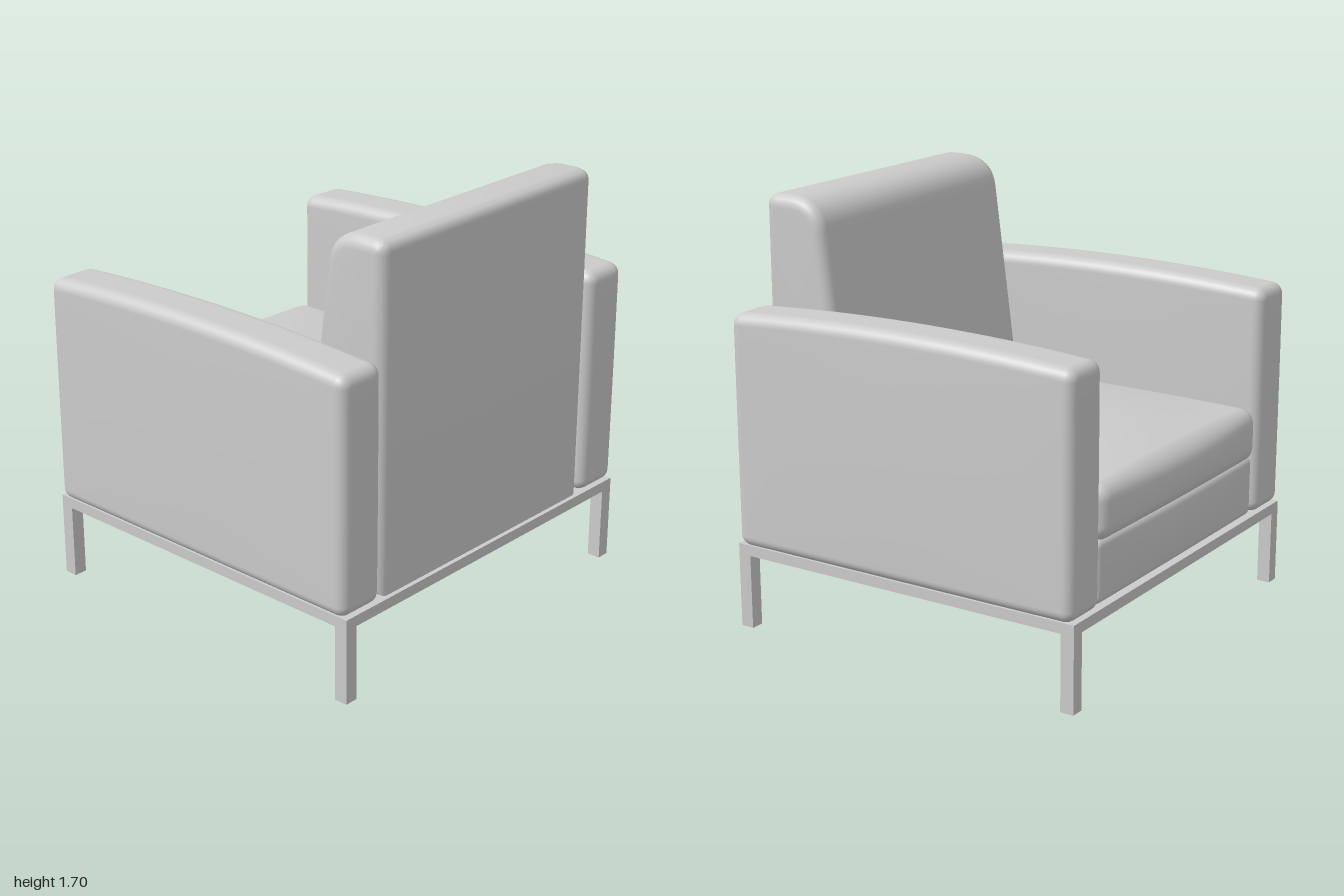
import * as THREE from 'three';
import { mergeVertices, toCreasedNormals } from 'three/addons/utils/BufferGeometryUtils.js';

const material = new THREE.MeshStandardMaterial({ color: 0xcccccc });

function addMesh(parent, name, geometry, x = 0, y = 0, z = 0) {
  const mesh = new THREE.Mesh(geometry, material);
  mesh.name = name;
  mesh.position.set(x, y, z);
  parent.add(mesh);
  return mesh;
}

// Upholstered block: rounded edges of radius r, faces swollen by puff [x, y top, z]
function cushion(w, h, d, r, puff) {
  const edge = 4, mid = 10, n = 2 * edge + mid;
  const half = [w / 2, h / 2, d / 2];
  const geo = new THREE.BoxGeometry(2, 2, 2, n, n, n);
  geo.deleteAttribute('uv');
  geo.deleteAttribute('normal');
  const pos = geo.attributes.position;
  // spread the grid lines so that the rounded edges get their own rows
  const spread = (t, s) => {
    const i = Math.round((t + 1) / 2 * n);
    if (i <= edge) return -s + r * i / edge;
    if (i >= n - edge) return s - r * (n - i) / edge;
    return (s - r) * (2 * (i - edge) / mid - 1);
  };
  for (let i = 0; i < pos.count; i++) {
    const p = half.map((s, a) => spread(pos.getComponent(i, a), s));
    const inner = p.map((c, a) => THREE.MathUtils.clamp(c, r - half[a], half[a] - r));
    const off = p.map((c, a) => c - inner[a]);
    const len = Math.hypot(...off) || 1;
    const q = inner.map((c, a) => c + off[a] / len * r);
    const [u, v, t] = q.map((c, a) => c / half[a]);
    const fall = (a) => Math.max(0, 1 - a * a);
    pos.setXYZ(i,
      q[0] + puff[0] * u * fall(v) * fall(t),
      q[1] + puff[1] * Math.max(0, v) * fall(t) * (w < 0.5 ? 1 : fall(u)),
      q[2] + puff[2] * t * fall(u) * fall(v));
  }
  const merged = mergeVertices(geo, 1e-5);
  merged.computeVertexNormals();
  return merged;
}

// Backrest: side profile with a rolled front top and a sloping front, bevelled at the ends
function backrestGeometry(width) {
  const bevel = 0.045;
  const s = new THREE.Shape();
  s.moveTo(0.315, 0.34);
  s.lineTo(0.75, 0.34);
  s.lineTo(0.75, 1.65);
  s.quadraticCurveTo(0.75, 1.7, 0.69, 1.7);
  s.lineTo(0.64, 1.7);
  s.bezierCurveTo(0.55, 1.7, 0.49, 1.66, 0.48, 1.57);
  s.closePath();
  const geo = new THREE.ExtrudeGeometry(s, {
    depth: width - 2 * bevel, curveSegments: 10,
    bevelEnabled: true, bevelSize: bevel, bevelThickness: bevel, bevelOffset: -bevel, bevelSegments: 5,
  });
  geo.translate(0, 0, -(width / 2 - bevel));
  geo.rotateY(-Math.PI / 2);
  return toCreasedNormals(geo, 0.8);
}

export function createModel() {
  const model = new THREE.Group();
  model.name = 'armchair';
  const chair = new THREE.Group();
  chair.name = 'turnedChair';
  chair.rotation.y = THREE.MathUtils.degToRad(16.3);
  model.add(chair);

  // Base frame with a recessed underside
  const fx = 0.805, fz = 0.768, beam = 0.055, fh = 0.043, fy = 0.323;
  for (const s of [-1, 1]) {
    addMesh(chair, 'frameSideBeam', new THREE.BoxGeometry(beam, fh, 2 * fz), s * (fx - beam / 2), fy, 0);
    addMesh(chair, 'frameCrossBeam', new THREE.BoxGeometry(2 * (fx - beam), fh, beam), 0, fy, s * (fz - beam / 2));
  }
  addMesh(chair, 'undersidePanel', new THREE.BoxGeometry(2 * (fx - beam), 0.01, 2 * (fz - beam)), 0, 0.337, 0);

  // Legs and arms, mirrored
  for (const sx of [-1, 1]) {
    for (const sz of [-1, 1]) {
      addMesh(chair, 'leg', new THREE.BoxGeometry(beam, 0.302, beam), sx * (fx - beam / 2), 0.151, sz * (fz - beam / 2));
    }
    addMesh(chair, 'arm', cushion(0.212, 0.93, 1.525, 0.045, [0.006, 0.03, 0.003]), sx * 0.713, 0.805, 0);
  }

  // Seat: base block and domed loose cushion
  addMesh(chair, 'seatBase', cushion(1.21, 0.25, 1.4, 0.03, [0, 0, 0.015]), 0, 0.465, -0.045);
  addMesh(chair, 'seatCushion', cushion(1.21, 0.22, 1.2, 0.06, [0, 0.06, 0.025]), 0, 0.685, -0.162);

  addMesh(chair, 'backrest', backrestGeometry(1.21));
  return model;
}
